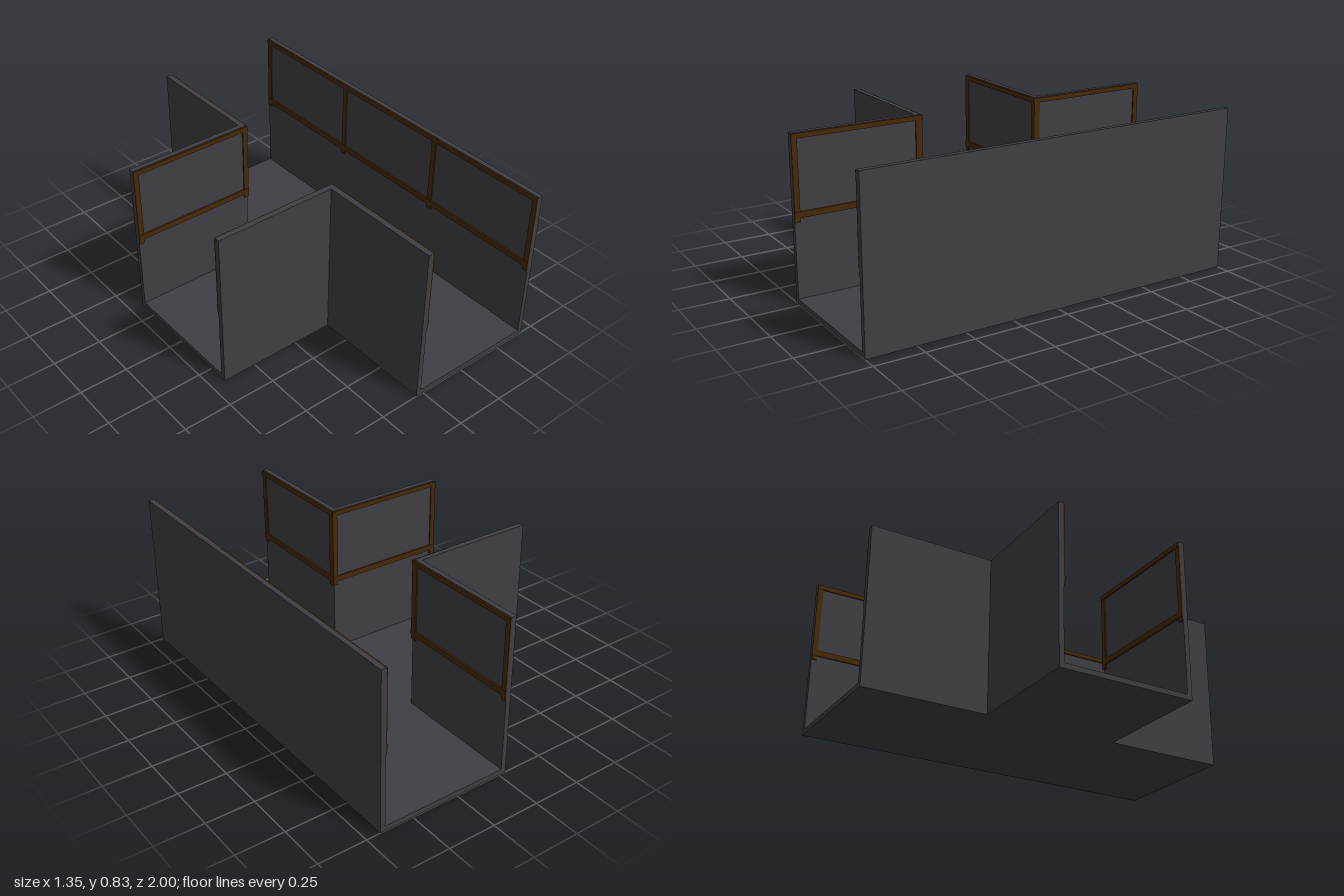
import * as THREE from 'three';

const H = 0.83;   // wall height
const T = 0.026;  // panel thickness

export function createModel() {
  const group = new THREE.Group();
  const panelGrey = new THREE.MeshStandardMaterial({ color: 0x403f45 });
  panelGrey.name = 'panelGrey';
  const trimBrown = new THREE.MeshStandardMaterial({ color: 0x472a08 });
  trimBrown.name = 'trimBrown';

  // Box given by its minimum and maximum corners
  function box(name, material, [x0, y0, z0], [x1, y1, z1], parent = group) {
    const mesh = new THREE.Mesh(new THREE.BoxGeometry(x1 - x0, y1 - y0, z1 - z0), material);
    mesh.position.set((x0 + x1) / 2, (y0 + y1) / 2, (z0 + z1) / 2);
    mesh.name = name;
    parent.add(mesh);
  }

  // Frame along local x, standing out toward local +z
  function trim(name, length, posts, position, turn) {
    const frame = new THREE.Group();
    frame.name = name;
    for (const [y0, y1] of [[0.425, 0.455], [0.803, 0.827]])
      box('rail', trimBrown, [0, y0, -0.002], [length, y1, 0.008]);
    for (const rail of group.children.splice(-2)) frame.add(rail);
    for (const x of posts) {
      const c = THREE.MathUtils.clamp(x, 0.014, length - 0.014);
      box('post', trimBrown, [c - 0.014, 0.403, -0.002], [c + 0.014, 0.827, 0.006], frame);
    }
    frame.position.set(...position);
    frame.rotation.y = turn;
    group.add(frame);
  }

  // T-shaped floor
  const outline = new THREE.Shape([
    [0.677, -1], [0.677, 1], [-0.04, 1], [-0.04, 0.358],
    [-0.677, 0.358], [-0.677, -0.358], [-0.04, -0.358], [-0.04, -1],
  ].map(([x, y]) => new THREE.Vector2(x, y)));
  const floor = new THREE.Mesh(
    new THREE.ExtrudeGeometry(outline, { depth: T, bevelEnabled: false }), panelGrey);
  floor.rotation.x = -Math.PI / 2;
  floor.name = 'floor';
  group.add(floor);

  // Long wall with a three-bay frame on its inside
  box('longWall', panelGrey, [0.677 - T, T, -1], [0.677, H, 1]);
  trim('longWallTrim', 2, [0, 0.667, 1.333, 2], [0.677 - T, 0, -1], -Math.PI / 2);

  // Mirrored corner walls around the side passage
  for (const s of [-1, 1]) {
    const zs = [s * 0.332, s].sort((a, b) => a - b);
    box('mainPassageWall', panelGrey, [-0.04, T, zs[0]], [-0.014, H, zs[1]]);
    trim('mainPassageTrim', 0.668, [0, 0.668], [-0.014, 0, zs[1]], Math.PI / 2);

    const zt = [s * 0.332, s * 0.358].sort((a, b) => a - b);
    box('sidePassageWall', panelGrey, [-0.677, T, zt[0]], [-0.04, H, zt[1]]);
    trim('sidePassageTrim', 0.669, [0, 0.669],
      [s > 0 ? -0.008 : -0.677, 0, s * 0.332], s > 0 ? Math.PI : 0);
  }
  return group;
}
